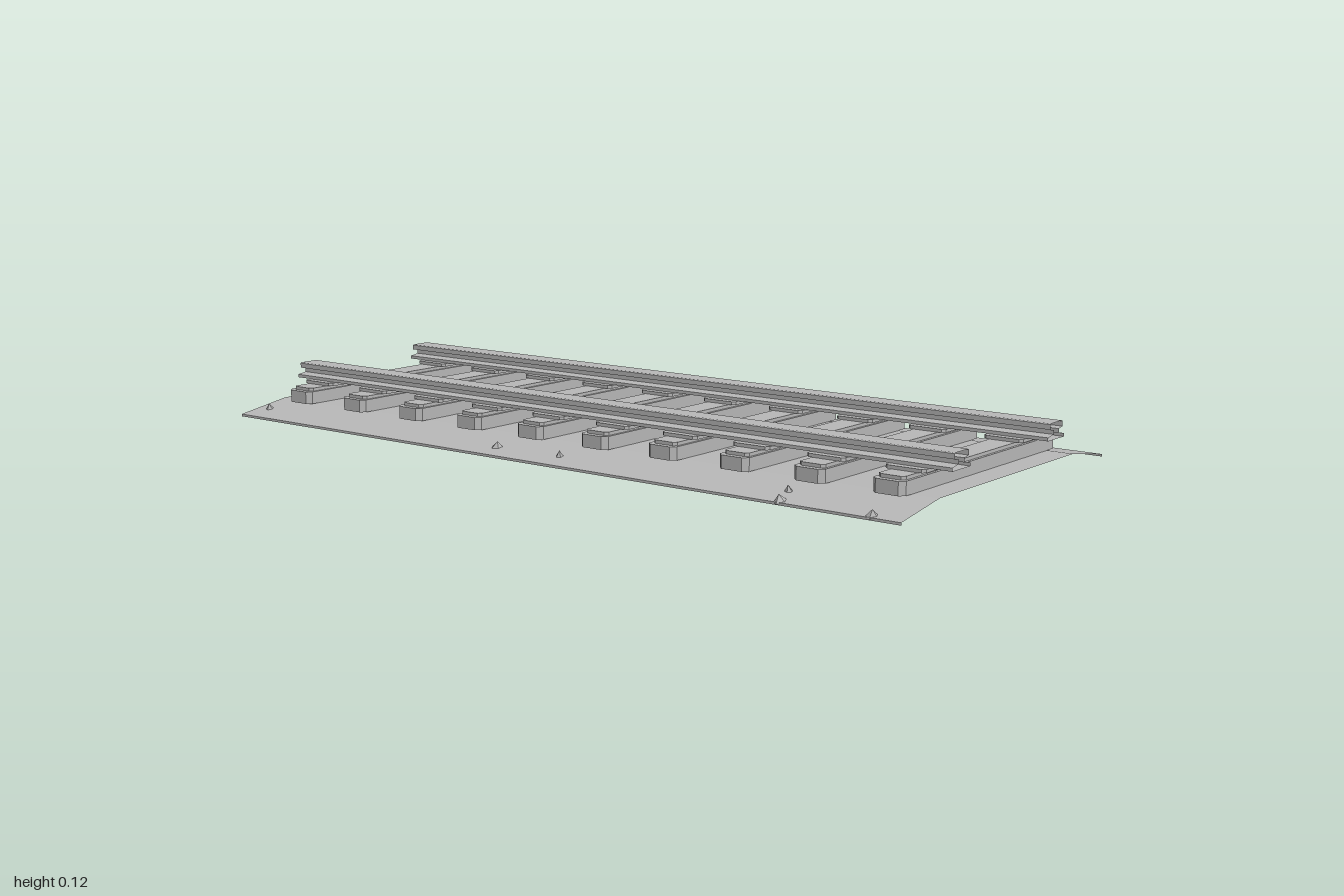
import * as THREE from 'three';

// Open-ended strip: sweeps an (x, y) profile from z = -1 to z = 1
function sweep(profile) {
  const pos = [];
  for (let i = 0; i < profile.length - 1; i++) {
    const [ax, ay] = profile[i], [bx, by] = profile[i + 1];
    pos.push(ax, ay, 1, bx, by, 1, bx, by, -1);
    pos.push(ax, ay, 1, bx, by, -1, ax, ay, -1);
  }
  const g = new THREE.BufferGeometry();
  g.setAttribute('position', new THREE.Float32BufferAttribute(pos, 3));
  g.computeVertexNormals();
  return g;
}

// Flat slab with clipped corners, standing from y0 to y1
function slab(hx, hz, cut, y0, y1) {
  const s = new THREE.Shape([
    [hx, hz - cut], [hx - cut, hz], [cut - hx, hz], [-hx, hz - cut],
    [-hx, cut - hz], [cut - hx, -hz], [hx - cut, -hz], [hx, cut - hz],
  ].map(([x, y]) => new THREE.Vector2(x, y)));
  const g = new THREE.ExtrudeGeometry(s, { depth: y1 - y0, bevelEnabled: false });
  return g.rotateX(-Math.PI / 2).translate(0, y0, 0);
}

export function createModel() {
  const model = new THREE.Group();
  model.name = 'railwayTrack';
  const grey = new THREE.MeshStandardMaterial({ color: 0xb8b8b8, side: THREE.DoubleSide, flatShading: true });
  grey.name = 'plain grey';
  const add = (name, geometry, x = 0, y = 0, z = 0) => {
    const m = new THREE.Mesh(geometry, grey);
    m.name = name;
    m.position.set(x, y, z);
    model.add(m);
    return m;
  };

  // Ballast bed: a thin sheet with sloping shoulders
  add('ballastBed', sweep([[-0.45, 0], [-0.45, 0.006], [-0.3, 0.03], [0.3, 0.03], [0.45, 0.006], [0.45, 0]]));

  // Sleepers with a stepped top, and rail plates on each
  const lower = slab(0.338, 0.04, 0.012, 0.0305, 0.062);
  const upper = slab(0.323, 0.033, 0.008, 0.062, 0.07);
  const plate = slab(0.0575, 0.05, 0.008, 0.07, 0.078);
  for (let i = 0; i < 10; i++) {
    const z = -0.905 + i * 0.2;
    add('sleeper', lower, 0, 0, z);
    add('sleeperTop', upper, 0, 0, z);
    for (const s of [-1, 1]) add('railPlate', plate, s * 0.2125, 0, z);
  }

  // Rails: foot, web and head
  const half = [[0.038, 0.078], [0.038, 0.086], [0.012, 0.09], [0.012, 0.1], [0.029, 0.103], [0.029, 0.115], [0.026, 0.117]];
  const mirrored = half.map(([x, y]) => [-x, y]).reverse();
  const rail = sweep([...half, ...mirrored, half[0]]);
  for (const s of [-1, 1]) add(s > 0 ? 'leftRail' : 'rightRail', rail, s * 0.2125);

  // Loose stones lying on the bed
  const stones = [
    [-0.39, -0.96], [0.39, -0.945], [0.37, -0.845], [0.415, -0.835], [0.37, -0.765], [0.39, -0.7],
    [0.105, -0.76], [-0.12, -0.745], [0.16, -0.61], [-0.17, -0.575], [0.4, -0.4], [0.365, -0.29],
    [0.36, -0.205], [0.36, -0.18], [-0.4, -0.145], [-0.395, 0.045], [0.43, 0.095], [0.365, 0.195],
    [0.43, 0.245], [0.37, 0.275], [-0.13, 0.18], [0.075, 0.24], [0.085, 0.565], [0.16, 0.61],
    [-0.44, 0.695], [-0.385, 0.68], [-0.44, 0.925],
  ];
  const stone = new THREE.ConeGeometry(0.016, 0.02, 5);
  stones.forEach(([x, z], i) => {
    const a = Math.abs(x);
    const y = a > 0.3 ? 0.03 - (a - 0.3) * 0.16 : 0.03;
    const m = add('stone', stone, x, y + 0.006, z);
    const k = 0.8 + ((i * 7) % 5) * 0.1;
    m.scale.set(k, 0.9, k * 0.85);
    m.rotation.set(0.15 * Math.sin(i), i * 1.3, a > 0.3 ? -0.16 * Math.sign(x) : 0, 'ZXY');
  });

  return model;
}
